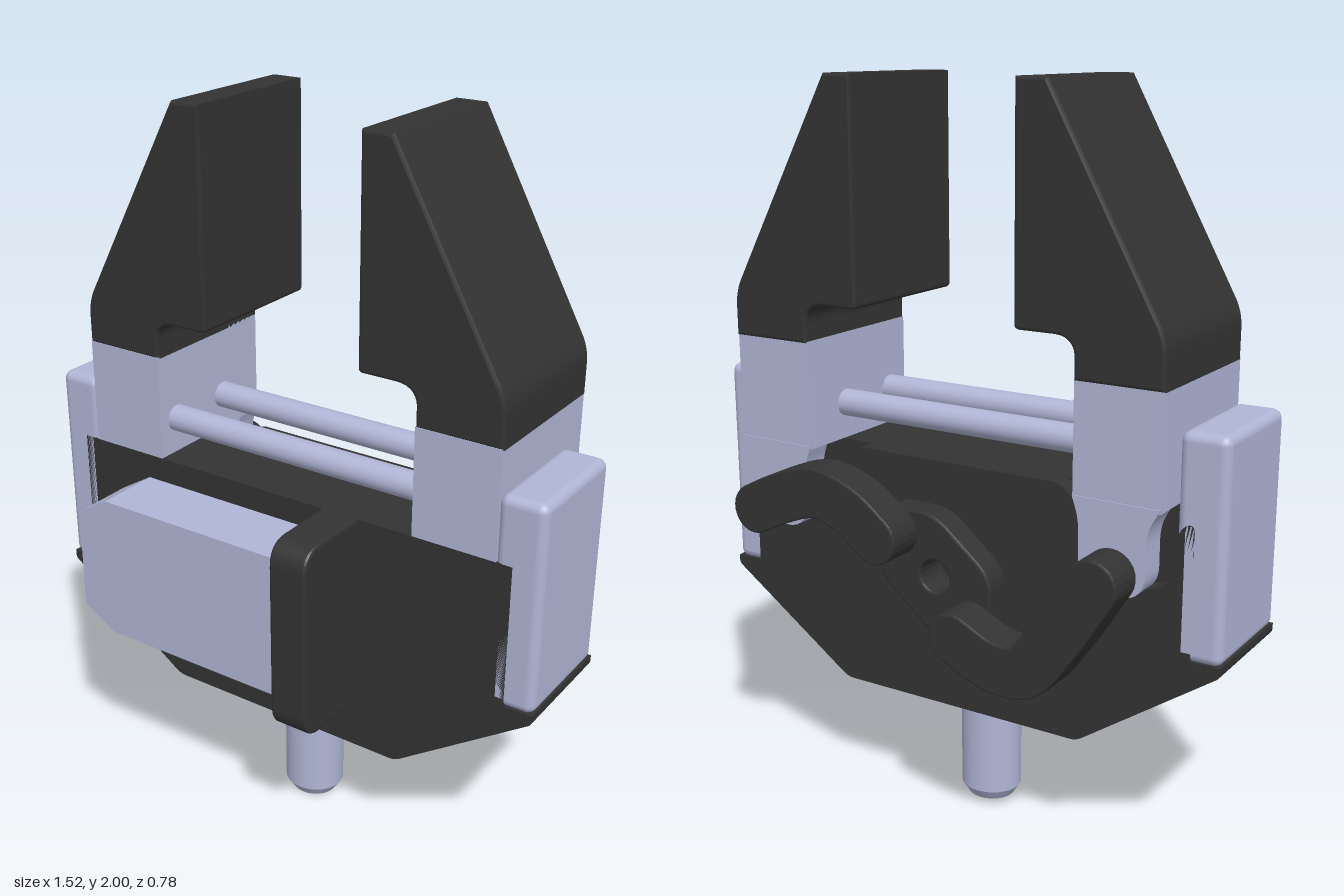
import * as THREE from 'three';
import { RoundedBoxGeometry } from 'three/addons/geometries/RoundedBoxGeometry.js';

const dark = new THREE.MeshStandardMaterial({ color: 0x333333 });
const light = new THREE.MeshStandardMaterial({ color: 0xb0b5d5 });

export function createModel() {
  const group = new THREE.Group();

  const add = (name, geometry, material, x = 0, y = 0, z = 0) => {
    const mesh = new THREE.Mesh(geometry, material);
    mesh.name = name;
    mesh.position.set(x, y, z);
    group.add(mesh);
    return mesh;
  };

  // Outline with corners rounded by radius r; a third entry in a point overrides r.
  const rounded = (points, r = 0) => {
    const shape = new THREE.Shape();
    const n = points.length;
    points.forEach((p, i) => {
      const c = new THREE.Vector2(p[0], p[1]);
      const toward = (q) => {
        const d = new THREE.Vector2(q[0], q[1]).sub(c);
        return d.setLength(Math.min(p[2] ?? r, d.length() * 0.5)).add(c);
      };
      const a = toward(points[(i + n - 1) % n]);
      const b = toward(points[(i + 1) % n]);
      if (i) shape.lineTo(a.x, a.y);
      else shape.moveTo(a.x, a.y);
      if ((p[2] ?? r) > 0) shape.quadraticCurveTo(c.x, c.y, b.x, b.y);
    });
    shape.closePath();
    return shape;
  };

  // Solid between two depths, optionally with a fine bevelled edge
  const slab = (shape, z0, z1, bevel = 0) =>
    new THREE.ExtrudeGeometry(shape, {
      depth: z1 - z0 - 2 * bevel, curveSegments: 10, bevelEnabled: bevel > 0,
      bevelSize: bevel, bevelOffset: -bevel, bevelThickness: bevel, bevelSegments: 2,
    }).translate(0, 0, z0 + bevel);

  const mirrorX = (half) => [...half, ...half.map(([x, y, r]) => [-x, y, r]).reverse()];

  // Housing: full outline in front, finger recesses in the thin rear layer
  add('housing', slab(rounded(mirrorX([
    [0.37, 0.33, 0.02], [0.76, 0.6, 0.01], [0.76, 0.625], [0.68, 0.625], [0.68, 1.02],
  ])), -0.13, 0.16), dark);
  add('housingRear', slab(rounded(mirrorX([
    [0.37, 0.33, 0.02], [0.76, 0.6, 0.01], [0.76, 0.625], [0.68, 0.625], [0.68, 0.98, 0.03],
    [0.64, 0.96, 0.03], [0.62, 0.79, 0.07], [0.41, 0.79, 0.07], [0.38, 0.96, 0.03], [0.31, 1.02, 0.02],
  ])), -0.18, -0.13), dark);

  // Mounting pin with chamfered tip
  const pin = add('mountingPin', new THREE.CylinderGeometry(0.086, 0.086, 0.36, 32), light, 0, 0.21, 0);
  const tip = add('mountingPinTip', new THREE.CylinderGeometry(0.086, 0.066, 0.03, 32), light, 0, 0.015, 0);
  pin.scale.z = tip.scale.z = 0.94;

  // Guide rods
  for (const z of [-0.115, 0.09]) {
    add('guideRod', new THREE.CylinderGeometry(0.037, 0.037, 1.2, 24).rotateZ(Math.PI / 2), light, 0, 1.12, z);
  }

  // Motor and its end plate on the front
  add('motor', slab(rounded([
    [-0.55, 0.6], [-0.45, 0.54], [0.14, 0.54], [0.14, 0.95], [-0.45, 0.95], [-0.55, 0.89],
  ]), 0.15, 0.345), light);
  add('motorPlate', slab(rounded([
    [-0.15, 0.47, 0], [-0.39, 0.47, 0.07], [-0.39, 1.02, 0.07], [-0.15, 1.02, 0],
  ]), 0.13, 0.24, 0.008).rotateY(Math.PI / 2), dark);

  for (const s of [1, -1]) {
    const side = s > 0 ? 'left' : 'right';
    const flip = (points) => (s > 0 ? points : points.map(([x, y, r]) => [-x, y, r]).reverse());

    // Outer bearing block
    add(`${side}SideBlock`, new RoundedBoxGeometry(0.13, 0.58, 0.34, 3, 0.025), light, s * 0.695, 0.91, -0.01);

    // Finger carriage and the rear leg that meets the link
    add(`${side}FingerBase`, slab(rounded(flip([
      [0.4, 1.02], [0.635, 1.02], [0.635, 1.315], [0.4, 1.315],
    ])), -0.275, 0.16), light);
    add(`${side}FingerLeg`, slab(rounded(flip([
      [0.4, 1.03, 0], [0.42, 0.97, 0.04], [0.42, 0.795, 0.07],
      [0.6, 0.795, 0.07], [0.6, 0.97, 0.04], [0.635, 1.03, 0],
    ])), -0.278, -0.2), light);

    // Tapered gripping jaw
    add(`${side}Jaw`, slab(rounded(flip([
      [0.235, 2], [0.32, 2], [0.637, 1.43, 0.04], [0.637, 1.31], [0.4, 1.31],
      [0.4, 1.415, 0.06], [0.235, 1.415, 0.015],
    ])), -0.28, 0.16, 0.008), dark);
  }

  // Drive hub: neck and rounded plate with a centre bore
  const bore = () => new THREE.Path().absarc(0, 0, 0.045, 0, Math.PI * 2, true);
  const hub = rounded([
    [0.17, 0.17], [0.0, 0.17], [-0.17, 0.03], [-0.17, -0.17], [0.0, -0.17], [0.17, -0.03],
  ], 0.05);
  hub.holes.push(bore());
  add('driveHub', slab(hub, -0.28, -0.2, 0.006), dark, 0, 0.74, 0);
  const neck = new THREE.Shape().absarc(0, 0, 0.08, 0, Math.PI * 2, false);
  neck.holes.push(bore());
  add('driveNeck', slab(neck, -0.21, -0.17), dark, 0, 0.74, 0);

  // Bent links: a constant-width band along a curved centre line with round ends
  const link = (points) => {
    const curve = new THREE.CatmullRomCurve3(points.map(([x, y]) => new THREE.Vector3(x, y, 0)));
    const w = 0.068, n = 20, upper = [], lower = [];
    for (let i = 0; i <= n; i++) {
      const p = curve.getPointAt(i / n), t = curve.getTangentAt(i / n);
      upper.push(new THREE.Vector2(p.x - t.y * w, p.y + t.x * w));
      lower.push(new THREE.Vector2(p.x + t.y * w, p.y - t.x * w));
    }
    const cap = (u, dir) => {
      const p = curve.getPointAt(u), t = curve.getTangentAt(u);
      const a = Math.atan2(t.y, t.x) + (dir > 0 ? -Math.PI / 2 : Math.PI / 2);
      return Array.from({ length: 11 }, (_, i) => {
        const k = a + ((i + 1) / 12) * Math.PI;
        return new THREE.Vector2(p.x + w * Math.cos(k), p.y + w * Math.sin(k));
      });
    };
    const outline = [...lower, ...cap(1, 1), ...upper.reverse(), ...cap(0, -1)];
    return slab(new THREE.Shape(outline), -0.388, -0.28, 0.005);
  };
  add('leftLink', link([[0.118, 0.85], [0.2, 0.91], [0.31, 0.942], [0.42, 0.91], [0.512, 0.865]]), dark);
  add('rightLink', link([[-0.118, 0.63], [-0.22, 0.585], [-0.32, 0.585], [-0.41, 0.69], [-0.512, 0.85]]), dark);

  return group;
}
